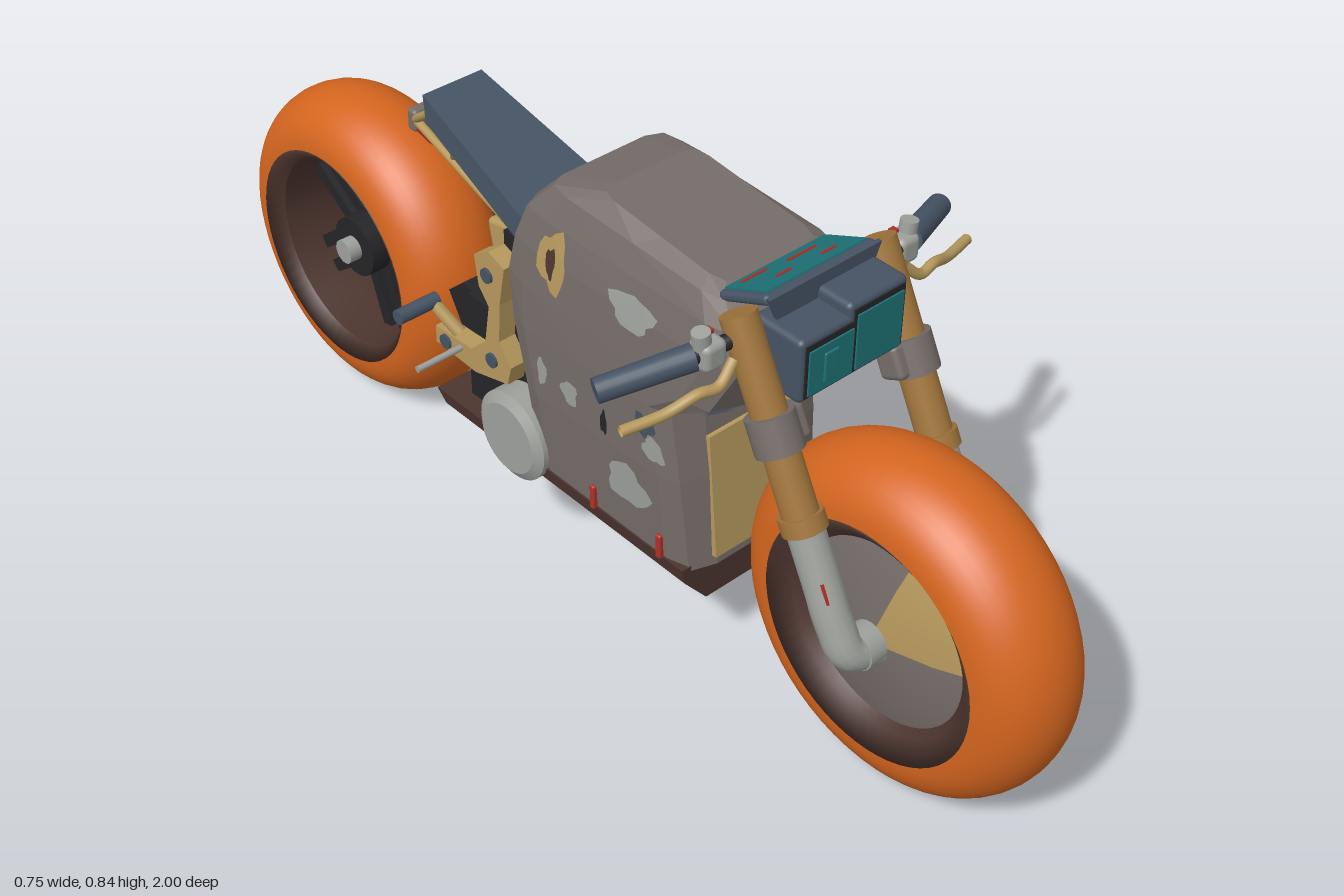
import * as THREE from 'three';
import { RoundedBoxGeometry } from 'three/addons/geometries/RoundedBoxGeometry.js';

const V = (x, y, z) => new THREE.Vector3(x, y, z);
const colour = (name, color) => {
  const m = new THREE.MeshStandardMaterial({ color, side: THREE.DoubleSide });
  m.name = name;
  return m;
};

export function createModel() {
  const orange = colour('orange rubber', 0xd4651f), taupe = colour('taupe shell', 0x756c68);
  const slate = colour('slate blue', 0x465364), brown = colour('dark brown', 0x4d352f);
  const tan = colour('tan metal', 0xb5985c), bronze = colour('bronze', 0xa0743c);
  const grey = colour('light grey', 0x9da09b), teal = colour('teal glass', 0x1e7378);
  const red = colour('red', 0xb0302a), black = colour('black', 0x252528);

  const root = new THREE.Group();
  root.name = 'motorcycle';
  let parent = root;
  const add = (name, geo, mat, x = 0, y = 0, z = 0, rx = 0, ry = 0, rz = 0) => {
    const m = new THREE.Mesh(geo, mat);
    m.name = name;
    m.position.set(x, y, z);
    m.rotation.set(rx, ry, rz);
    parent.add(m);
    return m;
  };
  const box = (w, h, d) => new THREE.BoxGeometry(w, h, d);
  const soft = (w, h, d, r = 0.01) => new RoundedBoxGeometry(w, h, d, 2, r);
  const rod = (name, mat, a, b, r, r2 = r, sides = 20) => {
    const m = add(name, new THREE.CylinderGeometry(r2, r, a.distanceTo(b), sides), mat);
    m.position.copy(a).lerp(b, 0.5);
    m.quaternion.setFromUnitVectors(V(0, 1, 0), b.clone().sub(a).normalize());
  };
  const tube = (name, mat, pts, r) =>
    add(name, new THREE.TubeGeometry(new THREE.CatmullRomCurve3(pts), 28, r, 14), mat);
  const shape = pts => new THREE.Shape(pts.map(p => new THREE.Vector2(...p)));
  // Lathe about the x axis; profile points are [radius, x]
  const turned = (name, mat, pts, p0 = 0, len = Math.PI * 2) =>
    add(name, new THREE.LatheGeometry(pts.map(p => new THREE.Vector2(...p)), 56, p0, len), mat, 0, 0, 0, 0, 0, -Math.PI / 2);
  // Side plate: outline of [z, y, optional x shift], from x0 to x1
  const plate = (name, mat, pts, x0, x1) => {
    const g = new THREE.ExtrudeGeometry(shape(pts.map(([z, y]) => [-z, y])), { depth: x1 - x0, bevelEnabled: false });
    const p = g.attributes.position;
    for (let i = 0; i < p.count; i++) {
      const c = pts.find(([z, y]) => Math.abs(z + p.getX(i)) + Math.abs(y - p.getY(i)) < 1e-4);
      p.setZ(i, p.getZ(i) + (c[2] || 0));
    }
    g.computeVertexNormals();
    add(name, g, mat, x0, 0, 0, 0, Math.PI / 2, 0);
  };

  // Wheels
  for (const [name, z, w] of [['frontWheel', 0.69, 0.105], ['rearWheel', -0.69, 0.11]]) {
    parent = new THREE.Group();
    parent.name = name;
    parent.position.set(0, 0.31, z);
    root.add(parent);
    const arc = [];
    for (let i = 0; i <= 20; i++) {
      const t = (i / 20 - 0.5) * Math.PI;
      arc.push([0.215 + 0.095 * Math.cos(t), w * Math.sin(t)]);
    }
    turned('tyre', orange, arc);
    if (z > 0) {
      turned('rim', brown, [[0.165, -0.065], [0.18, -0.08], [0.215, -0.105], [0.217, 0], [0.215, 0.105], [0.18, 0.08], [0.165, 0.065]]);
      for (const s of [1, -1]) {
        const dish = [[0.17, s * 0.066], [0.12, s * 0.08], [0.03, s * 0.092], [0.001, s * 0.092]];
        turned('wheelDisc', taupe, dish, -0.17, Math.PI * 2 - 1.13);
        turned('wheelDiscPanel', tan, dish, -1.3, 1.13);
      }
    } else {
      turned('rim', brown, [[0.19, -0.085], [0.215, -0.112], [0.217, 0], [0.215, 0.112], [0.19, 0.085], [0.185, 0], [0.19, -0.085]]);
      for (let i = 0; i < 5; i++) for (const d of [-0.026, 0.026]) {
        const a = i * Math.PI * 0.4 + 0.3;
        add('spoke', box(0.04, 0.175, 0.026), black, 0,
          0.105 * Math.cos(a) - d * Math.sin(a), 0.105 * Math.sin(a) + d * Math.cos(a), a);
      }
      rod('hub', black, V(-0.06, 0, 0), V(0.06, 0, 0), 0.06);
      rod('axle', grey, V(-0.085, 0, 0), V(0.155, 0, 0), 0.024);
    }
  }
  parent = root;

  // Body shell, lofted upward: [half width, front z, front y, back z, back y]
  const rows = [
    [0.152, 0.35, 0.235, -0.05, 0.235], [0.163, 0.335, 0.42, -0.07, 0.40], [0.165, 0.315, 0.55, -0.1, 0.53],
    [0.162, 0.40, 0.60, -0.115, 0.62], [0.155, 0.455, 0.70, -0.105, 0.69], [0.143, 0.43, 0.755, -0.085, 0.75],
    [0.125, 0.39, 0.79, -0.035, 0.805], [0.1, 0.36, 0.803, 0.07, 0.832]];
  const loop = [[0.6, 0], [0.92, 0.04], [1, 0.14], [1, 0.5], [1, 0.88], [0.94, 0.97], [0.7, 1]];
  const ring = [...loop, ...loop.map(([x, t]) => [-x, t]).reverse()];
  const N = ring.length, pos = [], idx = [];
  for (const [h, zf, yf, zb, yb] of rows)
    for (const [x, t] of ring) pos.push(x * h, yf + (yb - yf) * t, zf + (zb - zf) * t);
  for (let r = 0; r < rows.length - 1; r++) for (let i = 0; i < N; i++) {
    const a = r * N + i, b = r * N + (i + 1) % N;
    idx.push(a, b, a + N, b, b + N, a + N);
  }
  const top = (rows.length - 1) * N;
  for (let i = 1; i < N - 1; i++) idx.push(top, top + i, top + i + 1);
  const shell = new THREE.BufferGeometry();
  shell.setAttribute('position', new THREE.Float32BufferAttribute(pos, 3));
  shell.setIndex(idx);
  const flat = shell.toNonIndexed();
  flat.computeVertexNormals();
  add('bodyShell', flat, taupe);

  // Worn paint patches that follow the shell sides
  const halfAt = y => {
    const mid = r => (r[2] + r[4]) / 2, i = rows.findIndex(r => y <= mid(r)), a = rows[i - 1], b = rows[i];
    return a[0] + (b[0] - a[0]) * (y - mid(a)) / (mid(b) - mid(a));
  };
  const patches = [
    [0.21, 0.70, 0.055, 0.034, grey], [0.21, 0.355, 0.055, 0.045, grey], [0.02, 0.695, 0.037, 0.058, tan],
    [0.255, 0.51, 0.026, 0.024, slate], [0.275, 0.47, 0.028, 0.026, grey], [0.07, 0.465, 0.022, 0.026, grey],
    [0, 0.47, 0.013, 0.03, grey], [0.155, 0.455, 0.009, 0.026, black], [0.02, 0.695, 0.012, 0.03, brown]];
  for (const s of [1, -1]) patches.forEach(([z, y, rz, ry, mat], k) => {
    const pts = [];
    for (let i = 0; i < 16; i++) {
      const a = i / 16 * Math.PI * 2, q = 0.92 + 0.13 * Math.sin(a * 3 + k * 2.3) + 0.1 * Math.sin(a * 5 + k);
      pts.push([z + rz * q * Math.cos(a), y + ry * q * Math.sin(a)]);
    }
    const g = new THREE.ShapeGeometry(shape(pts)), p = g.attributes.position;
    for (let i = 0; i < p.count; i++)
      p.setXYZ(i, s * (halfAt(p.getY(i)) + (mat === brown ? 0.008 : 0.005)), p.getY(i), p.getX(i));
    g.computeVertexNormals();
    add('paintPatch', g, mat);
  });

  // Belly pan with a raked tail
  const hull = shape([[0.156, 0.245], [0.15, 0.215], [0.1, 0.155], [-0.1, 0.155], [-0.15, 0.215], [-0.156, 0.245]]);
  const pan = new THREE.ExtrudeGeometry(hull, { depth: 0.6, bevelEnabled: false });
  const pp = pan.attributes.position;
  for (let i = 0; i < pp.count; i++)
    if (pp.getZ(i) < 0.1) pp.setZ(i, -(pp.getY(i) - 0.155) * 0.55);
  pan.computeVertexNormals();
  add('bellyPan', pan, brown, 0, 0, -0.265);

  // Engine, radiator and inner frame
  add('engineBlock', box(0.24, 0.24, 0.3), black, 0, 0.345, -0.11);
  add('upperEngine', box(0.18, 0.18, 0.12), black, 0, 0.53, -0.13);
  add('radiator', box(0.2, 0.24, 0.012), tan, 0, 0.375, 0.338, -0.1);
  add('steeringBox', soft(0.16, 0.08, 0.05), tan, 0, 0.64, 0.425, -0.47);
  add('innerCowl', box(0.21, 0.06, 0.03), slate, 0, 0.572, 0.345, 0.9);
  add('rearTank', soft(0.14, 0.16, 0.1), tan, 0, 0.53, -0.2, -0.2);
  for (const s of [1, -1]) {
    const out = s > 0 ? 0.168 : 0.177;
    rod('engineCover', grey, V(s * 0.1, 0.275, -0.09), V(s * (out - 0.012), 0.275, -0.09), 0.086, 0.086, 32);
    rod('engineCoverCap', grey, V(s * (out - 0.012), 0.275, -0.09), V(s * out, 0.275, -0.09), 0.086, 0.068, 32);
    for (const z of [0.28, 0.115]) add('panStrap', soft(0.012, 0.05, 0.012, 0.004), red, s * 0.156, 0.265, z);
    const [x0, x1] = s > 0 ? [0.12, 0.155] : [-0.155, -0.12];
    plate('sideFrame', tan, [[-0.11, 0.61], [-0.15, 0.625], [-0.19, 0.6], [-0.18, 0.54], [-0.155, 0.51], [-0.17, 0.42], [-0.21, 0.39],
      [-0.31, 0.385], [-0.31, 0.35], [-0.2, 0.345], [-0.11, 0.37], [-0.1, 0.41], [-0.13, 0.45], [-0.125, 0.53]], x0, x1);
    for (const [y, z] of [[0.575, -0.155], [0.4, -0.15], [0.367, -0.28]])
      rod('frameBolt', slate, V(s * 0.14, y, z), V(s * 0.16, y, z), 0.014);
    rod('footPeg', slate, V(s * 0.15, 0.44, -0.31), V(s * 0.235, 0.44, -0.31), 0.014);
    rod('pegBracket', tan, V(s * 0.14, 0.39, -0.26), V(s * 0.16, 0.44, -0.31), 0.012);
    rod('footLever', grey, V(s * 0.14, 0.375, -0.24), V(s * 0.25, 0.375, -0.24), 0.006);
  }
  add('coverMark', box(0.004, 0.025, 0.055), red, 0.169, 0.27, -0.1);
  rod('pumpHousing', grey, V(0.1, 0.33, 0.03), V(0.172, 0.33, 0.03), 0.038, 0.034);
  add('pumpOutlet', soft(0.06, 0.05, 0.05), black, 0.14, 0.335, -0.02);

  // Exhaust and lower links
  rod('exhaust', bronze, V(0.08, 0.255, -0.19), V(0.1, 0.278, -0.345), 0.038, 0.046, 24);
  rod('exhaustBore', black, V(0.1, 0.278, -0.34), V(0.1005, 0.2785, -0.348), 0.036);
  rod('brakeLink', tan, V(0.12, 0.21, -0.26), V(0.12, 0.205, -0.75), 0.006);
  rod('upperLink', tan, V(0.12, 0.34, -0.3), V(0.12, 0.335, -0.46), 0.006);

  // Single-sided swing arm, bowed outward around the tyre, and rear brake
  plate('swingArm', brown, [[-0.28, 0.45, -0.025], [-0.435, 0.468, 0.012], [-0.61, 0.37, -0.008], [-0.74, 0.37, -0.01],
    [-0.74, 0.25, -0.01], [-0.58, 0.255, -0.006], [-0.435, 0.365, 0.012], [-0.28, 0.37, -0.025]], 0.118, 0.152);
  plate('swingArmPivot', black, [[-0.12, 0.41], [-0.17, 0.45], [-0.3, 0.455], [-0.34, 0.42], [-0.3, 0.35], [-0.15, 0.34]], -0.1, 0.135);
  add('rearCaliper', soft(0.05, 0.17, 0.06), slate, 0.122, 0.31, -0.765);
  add('caliperBracket', box(0.03, 0.1, 0.04), tan, 0.115, 0.31, -0.8);
  tube('rearBrakeHose', red, [V(0.125, 0.36, -0.75), V(0.13, 0.41, -0.77), V(0.125, 0.42, -0.81), V(0.12, 0.36, -0.82)], 0.006);

  // Seat: tapered wedge with a dark underside
  const wedge = (name, mat, lift, grow, h) => {
    const g = box(0.2, 0.05, 0.32), p = g.attributes.position;
    for (let i = 0; i < p.count; i++) {
      const back = p.getZ(i) < 0, up = p.getY(i) > 0;
      p.setXYZ(i, Math.sign(p.getX(i)) * (back ? 0.068 : 0.1) * (up ? 0.95 : 1) * grow,
        (back ? 0.712 : 0.608) + lift + (up ? h : 0), back ? (up ? -0.435 : -0.425) : -0.1);
    }
    g.computeVertexNormals();
    add(name, g, mat);
  };
  wedge('seat', slate, 0, 1, 0.05);
  wedge('seatPan', black, -0.007, 0.93, 0.007);

  // Tail frame and lamp
  for (const s of [1, -1]) {
    rod('tailRailLower', tan, V(s * 0.07, 0.61, -0.17), V(s * 0.015, 0.65, -0.53), 0.008);
    rod('tailRailUpper', tan, V(s * 0.055, 0.73, -0.42), V(s * 0.015, 0.65, -0.53), 0.008);
    rod('tailBrace', tan, V(s * 0.06, 0.69, -0.36), V(s * 0.03, 0.635, -0.4), 0.007);
  }
  add('tailBlock', soft(0.05, 0.045, 0.025, 0.008), taupe, 0, 0.65, -0.53);
  add('tailLamp', soft(0.04, 0.03, 0.012, 0.004), red, 0, 0.648, -0.54);
  tube('tailCable', red, [V(0.02, 0.65, -0.43), V(0.02, 0.615, -0.45), V(0, 0.615, -0.49), V(-0.02, 0.645, -0.51)], 0.009);

  // Front fork, handlebars and levers on each side
  const onFork = (x, y) => V(x, y, 0.425 + (0.83 - y) * 0.51);
  for (const s of [1, -1]) {
    const x = s * 0.147;
    rod('forkUpperTube', bronze, onFork(x, 0.818), onFork(x, 0.5), 0.03, 0.03, 24);
    rod('forkClamp', taupe, onFork(x, 0.675), onFork(x, 0.62), 0.04, 0.04, 20);
    add('clampArm', soft(0.07, 0.06, 0.05), taupe, s * 0.13, 0.648, 0.515, -0.47);
    rod('forkCollar', bronze, onFork(x, 0.528), onFork(x, 0.503), 0.037, 0.037, 20);
    tube('forkLowerLeg', grey, [onFork(x, 0.5), onFork(x, 0.43), onFork(x, 0.36), onFork(s * 0.138, 0.315), V(s * 0.085, 0.3, 0.695)], 0.031);
    rod('frontAxle', grey, V(s * 0.08, 0.31, 0.69), V(s * 0.125, 0.31, 0.69), 0.036);
    const mark = onFork(s * 0.165, 0.425);
    add('forkMark', box(0.006, 0.035, 0.012), red, mark.x, mark.y, mark.z + 0.022, -0.47);
    rod('barStub', black, V(s * 0.14, 0.79, 0.45), V(s * 0.23, 0.775, 0.425), 0.013);
    rod('grip', slate, V(s * 0.228, 0.774, 0.425), V(s * 0.366, 0.747, 0.365), 0.022, 0.02, 20);
    add('switchBlock', soft(0.045, 0.05, 0.045, 0.012), grey, s * 0.205, 0.775, 0.43);
    rod('fluidCup', grey, V(s * 0.216, 0.79, 0.43), V(s * 0.22, 0.818, 0.43), 0.015);
    add('switchButton', box(0.012, 0.008, 0.012), red, s * 0.195, 0.802, 0.42);
    tube('lever', tan, [V(s * 0.18, 0.765, 0.46), V(s * 0.215, 0.735, 0.465), V(s * 0.25, 0.737, 0.46), V(s * 0.3, 0.718, 0.445), V(s * 0.37, 0.71, 0.425)], 0.009);
  }
  add('frontCaliper', soft(0.045, 0.125, 0.075), slate, 0.125, 0.29, 0.58);
  add('caliperPad', soft(0.04, 0.1, 0.045), tan, 0.13, 0.285, 0.53);
  tube('frontBrakeHose', red, [V(0.13, 0.35, 0.58), V(0.14, 0.4, 0.56), V(0.135, 0.41, 0.52), V(0.13, 0.33, 0.51)], 0.006);

  // Headlamp: stepped housing, dark bezels and glass
  for (const [w, h, x, y] of [[0.125, 0.135, 0.047, 0.753], [0.12, 0.115, -0.055, 0.743]]) {
    add('headlampHousing', soft(w, h, 0.105), slate, x, y, 0.48);
    add('headlampBezel', box(w - 0.018, h - 0.02, 0.006), black, x, y, 0.532);
    add('headlampGlass', box(w - 0.028, h - 0.034, 0.006), teal, x, y - 0.003, 0.535);
  }
  add('headlampBulb', soft(0.03, 0.055, 0.006, 0.003), teal, -0.056, 0.738, 0.538);

  // Visor and instrument screen
  const visor = new THREE.ExtrudeGeometry(shape([[-0.098, 0.798], [0.098, 0.798], [0.118, 0.843], [-0.118, 0.843]]),
    { depth: 0.008, bevelEnabled: false });
  add('visor', visor, slate, 0, 0, 0.458);
  parent = new THREE.Group();
  parent.name = 'instrumentPanel';
  parent.position.set(0, 0.814, 0.408);
  parent.rotation.x = -0.42;
  root.add(parent);
  add('panelCase', soft(0.232, 0.018, 0.112, 0.008), slate);
  add('panelScreen', box(0.21, 0.006, 0.095), teal, 0, 0.009, 0);
  for (const [x, z, w] of [[-0.06, -0.03, 0.05], [0.03, -0.02, 0.06], [0.05, 0.02, 0.03], [-0.04, 0.015, 0.03]])
    add('screenReadout', box(w, 0.003, 0.005), red, x, 0.013, z);
  return root;
}
